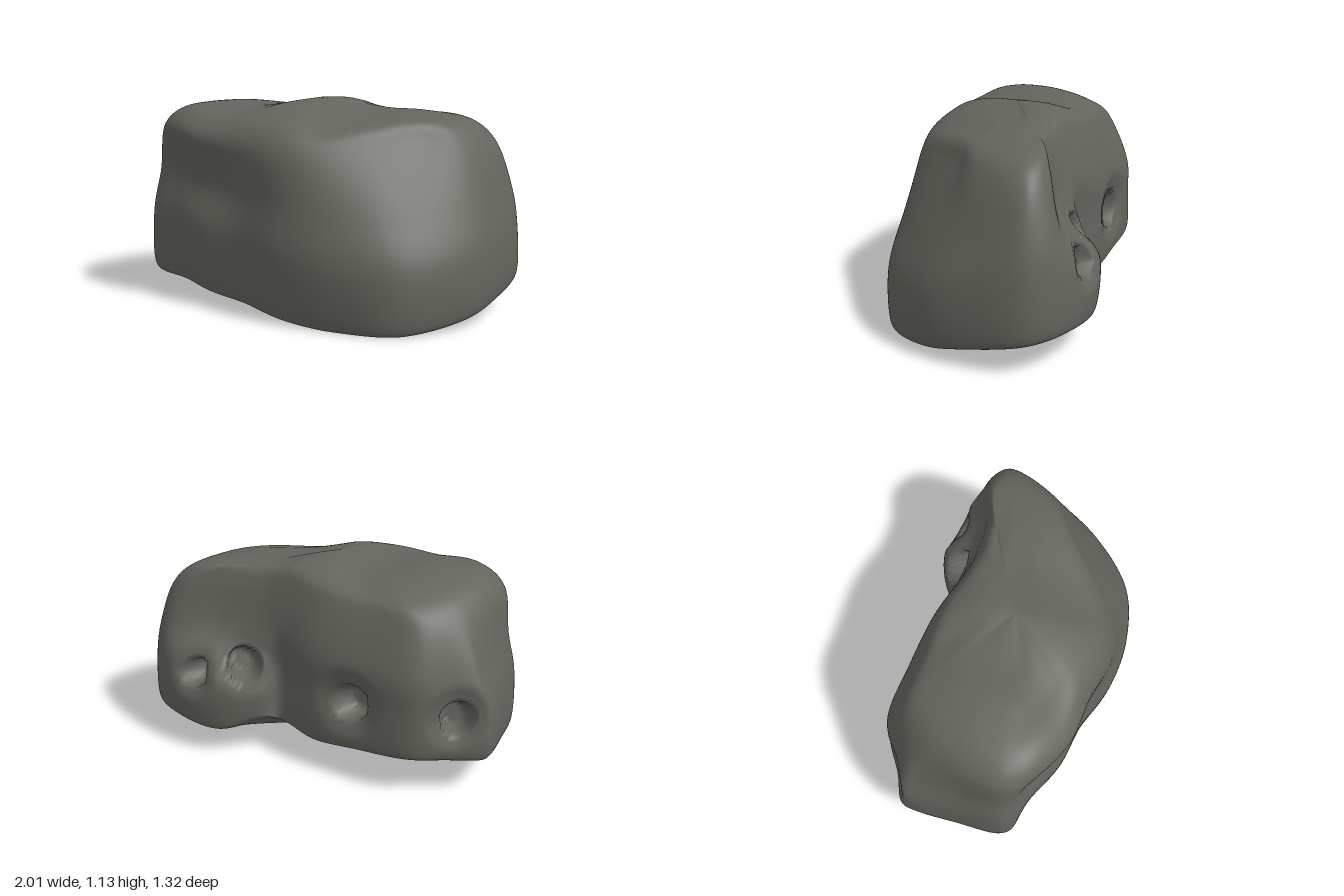
import * as THREE from 'three';

// Plan outlines as [x, z], all starting at the right end and running round the back.
const LOW = [[-.99, .0], [-.86, -.13], [-.71, -.27], [-.4, -.335], [-.12, -.37], [.13, -.355],
  [.17, -.46], [.38, -.62], [.73, -.64], [.92, -.53], [.99, -.2], [.97, .05], [.8, .38],
  [.5, .56], [.2, .625], [-.1, .61], [-.35, .63], [-.6, .595], [-.77, .575], [-.83, .53],
  [-.91, .3], [-.985, .07]];
const MID = [[-.92, .0], [-.83, -.12], [-.71, -.26], [-.4, -.33], [-.12, -.37], [.13, -.355],
  [.25, -.38], [.47, -.45], [.75, -.59], [.9, -.5], [.925, -.2], [.87, .05], [.68, .36],
  [.45, .53], [.2, .6], [-.1, .585], [-.35, .58], [-.6, .565], [-.74, .55], [-.8, .49],
  [-.86, .28], [-.91, .07]];
const RIM = [[-.78, .02], [-.74, -.08], [-.66, -.18], [-.4, -.24], [-.12, -.3], [.13, -.29],
  [.27, -.31], [.47, -.38], [.67, -.5], [.81, -.46], [.79, -.15], [.67, .03], [.51, .29],
  [.37, .47], [.2, .57], [-.1, .61], [-.35, .65], [-.6, .6], [-.71, .54], [-.76, .47],
  [-.79, .27], [-.79, .09]];
// The foot tucks in a little along the front
const FOOT = LOW.map(([x, z]) => [x, x > -.7 && z > .5 ? z - .035 : z]);

// Pits along the back: centre, radius and inward direction
const PITS = [
  { at: [.52, .48, -.62], r: .085, dir: [.1, -.15, 1] },
  { at: [.24, .56, -.49], r: .1, dir: [.8, -.2, .6] },
  { at: [-.35, .48, -.34], r: .11, dir: [.1, -.25, 1] },
  { at: [-.88, .47, -.1], r: .1, dir: [.7, -.25, .7] },
];

const bump = (v, c, w) => Math.exp(-(((v - c) / w) ** 2));
// Underside rises to the right and to the back, with a notch beside the back lobe
const bottomAt = (x, z) => Math.max(0, .045 - .12 * x) + .2 * Math.max(0, .25 - z)
  + .1 * bump(x, .14, .13) * bump(z, -.42, .11);
// Top has a diagonal ridge and falls away on both sides of it
const topAt = (x, z) => 1.06 + .07 * bump(x, .03, .2) + .045 * bump(x, -.48, .26)
  + .01 * bump(x, .55, .15) - .6 * Math.max(0, x - .5) ** 2 - .36 * (z - .05 + .45 * x) ** 2;

// One ring of guide points: outline scaled about the middle, at fraction t of the height
function ring(outline, scale, t) {
  return outline.map(([px, pz]) => {
    const x = .02 + (px - .02) * scale, z = .08 + (pz - .08) * scale;
    const b = bottomAt(x, z);
    return new THREE.Vector3(x, b + (topAt(x, z) - b) * t, z);
  });
}

function bodyGeometry() {
  const guides = [
    ring(FOOT, 0, 0), ring(FOOT, .45, 0), ring(FOOT, .82, 0), ring(FOOT, .97, 0),
    ring(FOOT, 1, .035), ring(LOW, 1, .38), ring(MID, 1, .62), ring(RIM, 1, .9),
    ring(RIM, .88, .98), ring(RIM, .6, 1), ring(RIM, .3, 1), ring(RIM, 0, 1),
  ];
  const around = 264, up = (guides.length - 1) * 12;
  const loops = guides.map((g) => new THREE.CatmullRomCurve3(g, true, 'centripetal'));
  const pos = new Float32Array(around * (up + 1) * 3);
  const pits = PITS.map(({ at, r, dir }) => ({
    at: new THREE.Vector3(...at), r, dir: new THREE.Vector3(...dir).normalize(),
  }));

  for (let i = 0; i < around; i++) {
    const column = new THREE.CatmullRomCurve3(
      loops.map((loop) => loop.getPoint(i / around)), false, 'centripetal');
    for (let j = 0; j <= up; j++) {
      const p = column.getPoint(j / up);
      const push = new THREE.Vector3();
      for (const { at, r, dir } of pits) {
        // Distance from the axis of the pit, near its mouth only
        const off = p.clone().sub(at), along = off.dot(dir);
        if (Math.abs(along) > .25) continue;
        const d = off.addScaledVector(dir, -along).length();
        push.addScaledVector(dir, .13 * (1 - THREE.MathUtils.smoothstep(d, r * .6, r))
          + .025 * (1 - THREE.MathUtils.smoothstep(d, r, r * 1.9)));
      }
      p.add(push);
      pos.set([p.x, Math.max(0, p.y), p.z], (j * around + i) * 3);
    }
  }

  const index = [];
  for (let j = 0; j < up; j++) {
    for (let i = 0; i < around; i++) {
      const n = (i + 1) % around;
      const a = j * around + i, b = a + around, c = j * around + n, d = c + around;
      if (j > 0) index.push(a, b, c);
      if (j < up - 1) index.push(c, b, d);
    }
  }
  const geometry = new THREE.BufferGeometry();
  geometry.setAttribute('position', new THREE.BufferAttribute(pos, 3));
  geometry.setIndex(index);
  geometry.computeVertexNormals();
  // The two poles need plain vertical normals
  const normal = geometry.attributes.normal;
  for (let i = 0; i < around; i++) {
    normal.setXYZ(i, 0, -1, 0);
    normal.setXYZ(up * around + i, 0, 1, 0);
  }
  return geometry;
}

export function createModel() {
  const stone = new THREE.MeshStandardMaterial({ color: 0x64645d });
  stone.name = 'dark stone';
  const boulder = new THREE.Mesh(bodyGeometry(), stone);
  boulder.name = 'boulder';
  const group = new THREE.Group();
  group.name = 'pitted boulder';
  group.add(boulder);
  return group;
}
